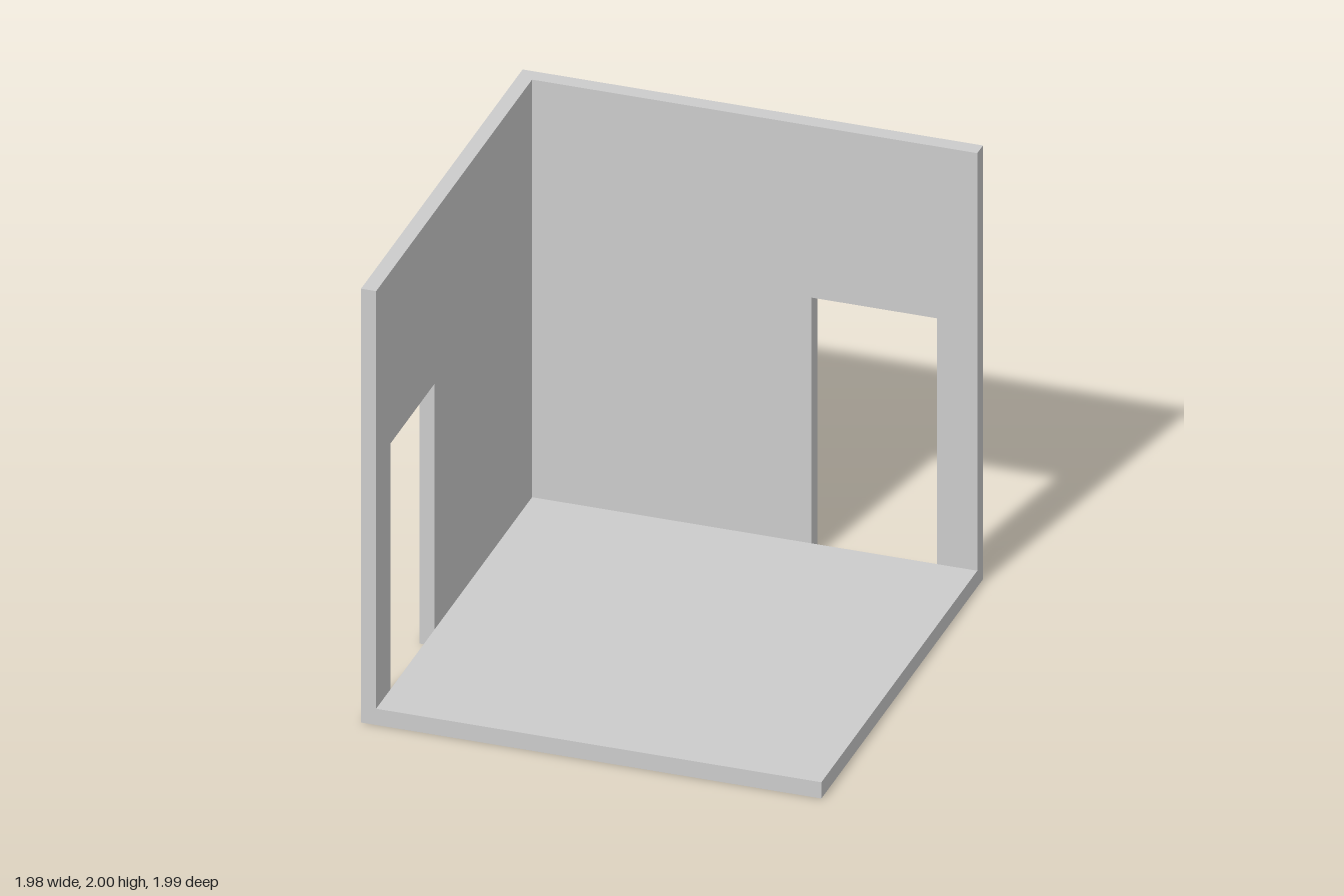
import * as THREE from 'three';

const X = 0.99, Z = 0.996, H = 2;          // half width, half depth, wall height
const WALL_L = 0.065, WALL_B = 0.07;       // wall thicknesses
const FLOOR = 0.075;
const DOOR = { from: 0.278, to: 0.816, top: 1.208 };

// Wall slab along the x axis from u0 to u1, with a doorway open down to the ground
function wallGeometry(u0, u1, thickness) {
  const shape = new THREE.Shape([
    [u0, 0], [DOOR.from, 0], [DOOR.from, DOOR.top], [DOOR.to, DOOR.top],
    [DOOR.to, 0], [u1, 0], [u1, H], [u0, H],
  ].map(([u, y]) => new THREE.Vector2(u, y)));
  return new THREE.ExtrudeGeometry(shape, { depth: thickness, bevelEnabled: false });
}

export function createModel() {
  const group = new THREE.Group();
  group.name = 'roomCorner';
  const material = new THREE.MeshStandardMaterial({ color: 0xcccccc });
  const add = (name, geometry) => {
    const mesh = new THREE.Mesh(geometry, material);
    mesh.name = name;
    group.add(mesh);
  };

  // Back wall spans the full width
  add('backWall', wallGeometry(-X, X, WALL_B).translate(0, 0, -Z));

  // Side wall runs forward from the back wall
  add('sideWall', wallGeometry(-Z + WALL_B, Z, WALL_L)
    .rotateY(-Math.PI / 2).translate(-X + WALL_L, 0, 0));

  // Floor slab fills the space inside the walls
  add('floor', new THREE.BoxGeometry(2 * X - WALL_L, FLOOR, 2 * Z - WALL_B)
    .translate(WALL_L / 2, FLOOR / 2, WALL_B / 2));

  return group;
}
